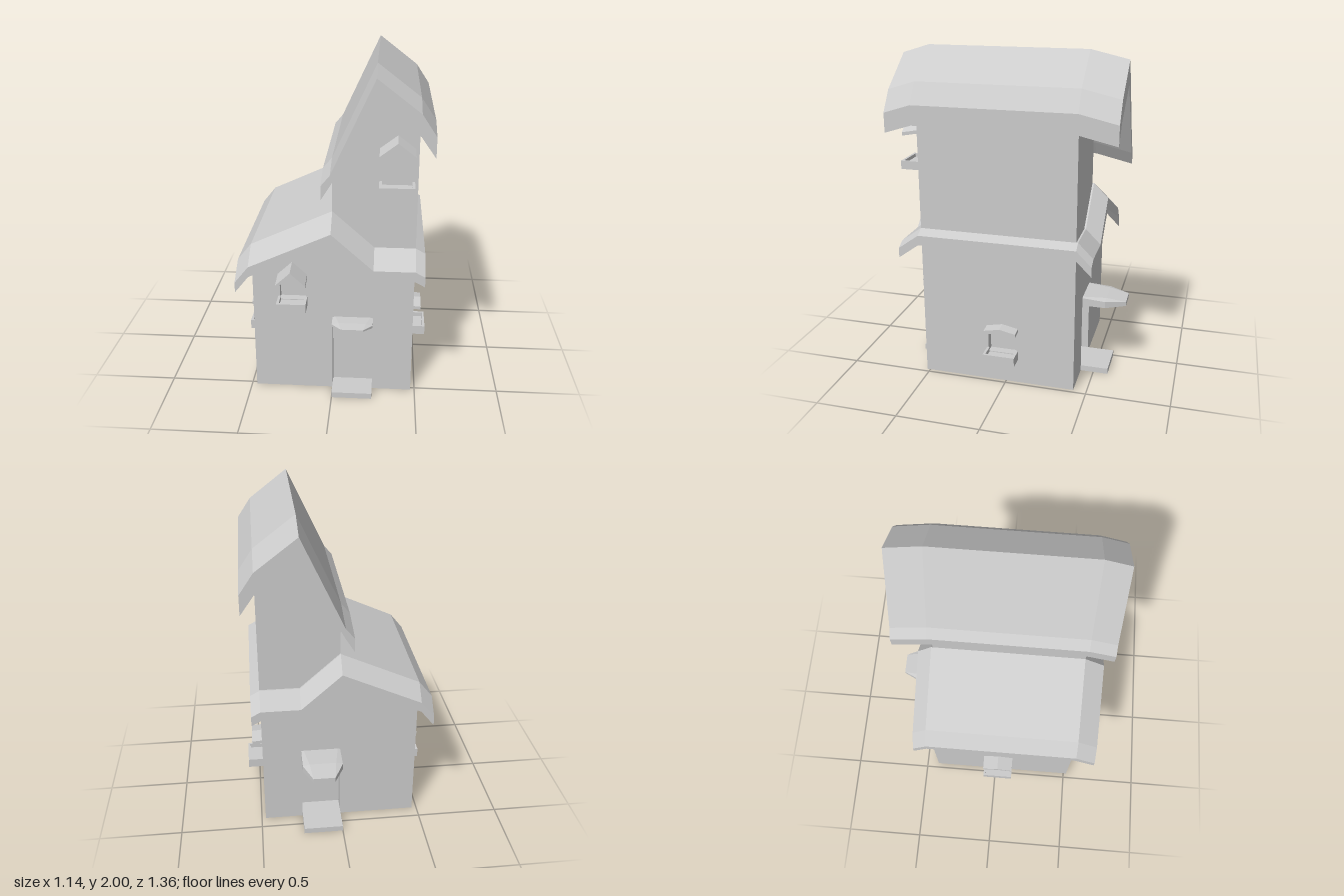
import * as THREE from 'three';
import { ConvexGeometry } from 'three/addons/geometries/ConvexGeometry.js';

const material = new THREE.MeshStandardMaterial({ color: 0xcccccc, flatShading: true });
const FRONT = 0.52, BACK = -0.42, FRONT_IN = 0.47, BACK_IN = -0.335;
const DOOR = [0, 0.24];

function add(parent, name, geometry) {
  const mesh = new THREE.Mesh(geometry, material);
  mesh.name = name;
  parent.add(mesh);
  return mesh;
}

const shapeOf = pts => new THREE.Shape(pts.map(p => new THREE.Vector2(...p)));

// Flat outline pushed from z0 to z1, with optional holes
function slab(pts, z0, z1, holes = []) {
  const shape = shapeOf(pts);
  holes.forEach(h => shape.holes.push(shapeOf(h)));
  return new THREE.ExtrudeGeometry(shape, { depth: z1 - z0, bevelEnabled: false }).translate(0, 0, z0);
}

function box(x0, x1, y0, y1, z0, z1) {
  return new THREE.BoxGeometry(x1 - x0, y1 - y0, z1 - z0)
    .translate((x0 + x1) / 2, (y0 + y1) / 2, (z0 + z1) / 2);
}

// Folded plate: section rows are [x, top, bottom], stations are [z, drop] from back to front
function foldedRoof(section, stations) {
  const pos = [], n = section.length, last = stations.length - 1;
  const quad = (a, b, c, d) => pos.push(...a, ...b, ...c, ...a, ...c, ...d);
  const ring = stations.map(([z, drop]) => [
    ...section.map(([x, top]) => [x, top - drop, z]),
    ...section.map(([x, , bottom]) => [x, bottom - drop, z]).reverse()
  ]);
  for (let s = 0; s < last; s++) {
    for (let i = 0; i < 2 * n; i++) {
      const j = (i + 1) % (2 * n);
      quad(ring[s][i], ring[s + 1][i], ring[s + 1][j], ring[s][j]);
    }
  }
  for (let i = 0; i < n - 1; i++) {
    const lo = 2 * n - 1 - i;
    const f = ring[last], b = ring[0];
    quad(f[lo], f[lo - 1], f[i + 1], f[i]);
    quad(b[i], b[i + 1], b[lo - 1], b[lo]);
  }
  const g = new THREE.BufferGeometry();
  g.setAttribute('position', new THREE.Float32BufferAttribute(pos, 3));
  g.computeVertexNormals();
  return g;
}

// Window trim facing +z: little gable hood above an open planter tray
function windowTrim(name, { half, sillBottom, sillTop, sillDepth, eave, peak, hoodDepth, drop }) {
  const g = new THREE.Group();
  g.name = name;
  const t = 0.02, w = 0.015;
  add(g, 'windowHood', foldedRoof(
    [[-half, eave, eave - t], [0, peak, peak - t * 1.3], [half, eave, eave - t]],
    [[-0.01, 0], [hoodDepth, drop]]));
  add(g, 'planterBase', box(-half, half, sillBottom, sillBottom + 0.03, 0, sillDepth));
  add(g, 'planterFront', box(-half, half, sillBottom + 0.03, sillTop, sillDepth - w, sillDepth));
  for (const s of [-1, 1]) {
    const a = s * half, b = s * (half - w);
    add(g, 'planterSide', box(Math.min(a, b), Math.max(a, b), sillBottom + 0.03, sillTop, 0, sillDepth - w));
  }
  return g;
}

export function createModel() {
  const house = new THREE.Group();
  house.name = 'house';

  // Gable wall outline with a notch for the doorway
  const gable = (x0, x1, notch) => [
    [x0, 0], [DOOR[0], 0], [DOOR[0], notch], [DOOR[1], notch], [DOOR[1], 0],
    [x1, 0], [x1, 0.91], [0.24, 0.91], [0, 1.12], [x0, 0.91]
  ];
  const attic = [[-0.31, 0.6], [-0.155, 0.6], [-0.155, 0.74], [-0.235, 0.81], [-0.31, 0.74]];
  add(house, 'houseCore', slab(gable(-0.42, 0.425, 0.035), BACK_IN, FRONT_IN));
  add(house, 'frontWall', slab(gable(-0.47, 0.475, 0.47), FRONT_IN, FRONT, [attic]));
  add(house, 'backWall', slab(gable(-0.47, 0.475, 0.47), BACK, BACK_IN));

  // Side walls with window openings
  for (const [name, x] of [['leftWall', 0.425], ['rightWall', -0.47]]) {
    const wall = slab(
      [[-FRONT_IN, 0], [-BACK_IN, 0], [-BACK_IN, 0.9], [-FRONT_IN, 0.9]], 0, 0.05,
      [[[-0.11, 0.19], [0.065, 0.19], [0.065, 0.355], [-0.11, 0.355]]]);
    add(house, name, wall.rotateY(Math.PI / 2).translate(x, 0, 0));
  }

  // Tower
  add(house, 'tower', slab(
    [[0, 0.88], [0.475, 0.88], [0.475, 1.74], [0.24, 1.91], [0, 1.45]], BACK, FRONT));

  // Roofs, drooping at the front and back overhangs
  add(house, 'lowerRoof', foldedRoof(
    [[-0.55, 0.85, 0.79], [-0.47, 0.95, 0.89], [0, 1.165, 1.095],
      [0.24, 0.95, 0.89], [0.475, 0.95, 0.89], [0.53, 0.92, 0.86]],
    [[-0.52, 0.09], [-0.43, 0], [FRONT, 0], [0.645, 0.09]]));
  add(house, 'towerRoof', foldedRoof(
    [[-0.05, 1.42, 1.34], [0, 1.48, 1.42], [0.24, 2, 1.86],
      [0.475, 1.82, 1.7], [0.555, 1.7, 1.585]],
    [[-0.65, 0.05], [-0.43, 0], [FRONT, 0], [0.68, 0.05]]));

  // Doorsteps
  add(house, 'frontStep', box(...DOOR, 0, 0.035, FRONT_IN, 0.63));
  add(house, 'backStep', box(...DOOR, 0, 0.035, -0.59, BACK_IN));

  // Door canopies: [wall z, shoulder z, tip z, wall top, shoulder top, tip top, bottom, tip bottom]
  const canopies = {
    frontCanopy: [FRONT_IN, 0.59, 0.65, 0.495, 0.49, 0.482, 0.465, 0.474],
    backCanopy: [BACK_IN, -0.56, -0.68, 0.505, 0.5, 0.482, 0.45, 0.455]
  };
  for (const [name, [z0, z1, z2, t0, t1, t2, b, b2]] of Object.entries(canopies)) {
    const pts = [];
    for (const s of [-1, 1]) {
      const wide = 0.12 + s * 0.12, narrow = 0.122 + s * 0.065;
      pts.push([wide, t0, z0], [wide, b, z0], [wide, t1 - 0.01, z1], [wide, b, z1],
        [0.12 + s * 0.08, t1, z1], [narrow, t2, z2], [narrow, b2, z2]);
    }
    add(house, name, new ConvexGeometry(pts.map(p => new THREE.Vector3(...p))));
  }

  // Window trims
  const atticTrim = windowTrim('atticWindow', {
    half: 0.086, sillBottom: 0.565, sillTop: 0.62, sillDepth: 0.105,
    eave: 0.765, peak: 0.845, hoodDepth: 0.115, drop: 0.02
  });
  atticTrim.position.set(-0.234, 0, FRONT);
  const towerTrim = windowTrim('towerWindow', {
    half: 0.098, sillBottom: 1.3, sillTop: 1.35, sillDepth: 0.115,
    eave: 1.54, peak: 1.615, hoodDepth: 0.1, drop: 0.02
  });
  towerTrim.position.set(0.358, 0, FRONT);
  house.add(atticTrim, towerTrim);

  for (const s of [-1, 1]) {
    const trim = windowTrim(s > 0 ? 'leftWindow' : 'rightWindow', {
      half: 0.098, sillBottom: 0.155, sillTop: 0.213, sillDepth: s > 0 ? 0.095 : 0.103,
      eave: 0.362, peak: 0.382, hoodDepth: s > 0 ? 0.065 : 0.088, drop: 0.006
    });
    trim.position.set(s > 0 ? 0.475 : -0.47, 0, 0.022);
    trim.rotation.y = s * Math.PI / 2;
    house.add(trim);
  }
  return house;
}
